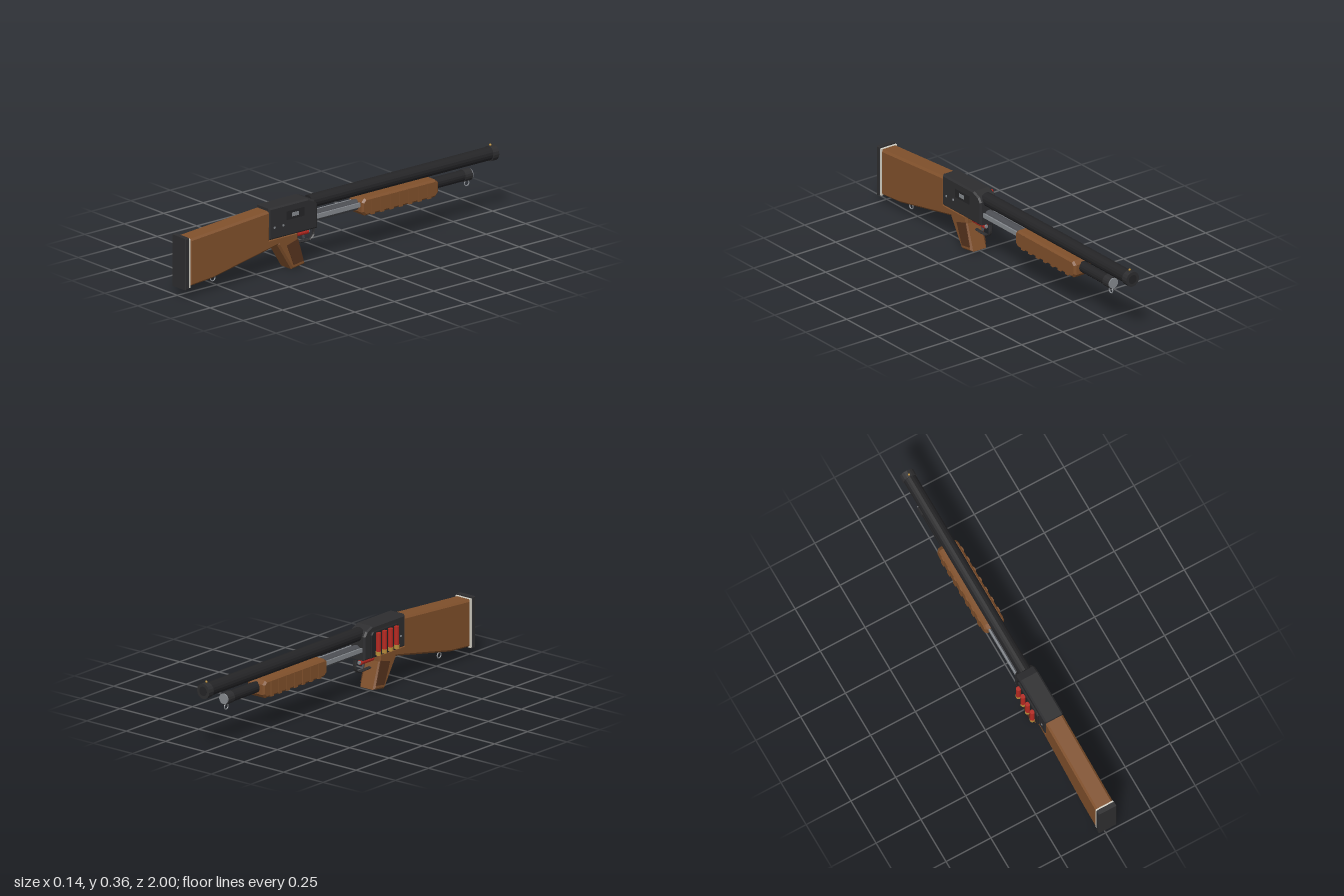
import * as THREE from 'three';

const CX = 0.012; // bore line
const mat = (name, color) => {
  const m = new THREE.MeshStandardMaterial({ color, flatShading: true });
  m.name = name;
  return m;
};

export function createModel() {
  const wood = mat('wood', 0x80502b);
  const darkWood = mat('darkWood', 0x55321d);
  const black = mat('black', 0x2d2d2f);
  const gunmetal = mat('gunmetal', 0x242426);
  const steel = mat('steel', 0x85898e);
  const darkSteel = mat('darkSteel', 0x4c4e53);
  const red = mat('red', 0xb42820);
  const brass = mat('brass', 0xb58a38);
  const white = mat('spacerWhite', 0xd6d3c8);

  const model = new THREE.Group();
  model.name = 'shotgun';
  const add = (name, geo, material, x = 0, y = 0, z = 0) => {
    const mesh = new THREE.Mesh(geo, material);
    mesh.name = name;
    mesh.position.set(x, y, z);
    model.add(mesh);
    return mesh;
  };

  // Side outline given as [z, y] pairs, extruded across x with chamfered edges
  const side = (name, pts, width, bevel, material, x = CX) => {
    const shape = new THREE.Shape(pts.map(([z, y]) => new THREE.Vector2(z, y)));
    const depth = width - 2 * bevel;
    const geo = new THREE.ExtrudeGeometry(shape, {
      depth, bevelEnabled: bevel > 0, bevelSegments: 1,
      bevelSize: bevel, bevelThickness: bevel, bevelOffset: -bevel,
    });
    geo.translate(0, 0, -depth / 2).rotateY(-Math.PI / 2);
    return add(name, geo, material, x);
  };
  const box = (name, w, h, d, material, x, y, z) =>
    add(name, new THREE.BoxGeometry(w, h, d), material, x, y, z);
  // Cylinder running along z between two positions
  const rod = (name, r, z0, z1, y, material, x = CX, sides = 16) =>
    add(name, new THREE.CylinderGeometry(r, r, Math.abs(z1 - z0), sides).rotateX(Math.PI / 2),
      material, x, y, (z0 + z1) / 2);

  // Stock and pistol grip
  side('stock', [
    [0.967, 0.055], [0.967, 0.297], [0.46, 0.334], [0.46, 0.19], [0.28, 0.19],
    [0.285, 0.14], [0.40, 0.148], [0.82, 0.066],
  ], 0.096, 0.01, wood);
  side('grip', [[0.41, 0.148], [0.40, 0.187], [0.28, 0.187], [0.28, 0.15], [0.235, 0.015], [0.32, 0.003]],
    0.096, 0.01, wood);
  for (const s of [-1, 1])
    side('gripPanel', [[0.355, 0.135], [0.285, 0.155], [0.25, 0.035], [0.312, 0.026]],
      0.004, 0, darkWood, CX + s * 0.0485);

  // Butt pad and spacer
  side('buttSpacer', [[0.965, 0.05], [0.977, 0.05], [0.977, 0.3], [0.965, 0.3]], 0.096, 0, white);
  side('buttPad', [[0.975, 0.045], [1, 0.043], [1, 0.307], [0.975, 0.307]], 0.1, 0.003, black);

  // Receiver
  side('receiver', [
    [0.47, 0.183], [0.47, 0.347], [0.22, 0.347], [0.178, 0.33], [0.16, 0.305], [0.16, 0.183],
  ], 0.101, 0.008, black);
  box('ejectionPort', 0.006, 0.045, 0.11, gunmetal, CX + 0.052, 0.29, 0.305);
  box('bolt', 0.004, 0.02, 0.042, steel, CX + 0.0545, 0.29, 0.307);
  for (const z of [0.435, 0.38])
    add('receiverPin', new THREE.CylinderGeometry(0.006, 0.006, 0.106, 8).rotateZ(Math.PI / 2),
      steel, CX, 0.244, z);

  // Barrel, muzzle and bead
  rod('barrel', 0.034, 0.18, -0.99, 0.31, gunmetal);
  rod('muzzleRing', 0.039, -0.965, -1, 0.309, black);
  rod('bore', 0.024, -0.99, -1.0005, 0.309, gunmetal);
  add('beadSight', new THREE.SphereGeometry(0.006, 10, 8), brass, CX, 0.352, -0.975);

  // Magazine tube with action bars
  rod('magazineTube', 0.027, 0.17, -0.3, 0.23, darkSteel);
  rod('magazineFront', 0.028, -0.3, -0.835, 0.232, gunmetal);
  rod('magazineCap', 0.031, -0.795, -0.84, 0.232, black);
  rod('magazineCapFace', 0.027, -0.83, -0.847, 0.232, steel);
  for (const s of [-1, 1])
    box('actionBar', 0.008, 0.022, 0.32, steel, CX + s * 0.033, 0.237, 0.01);

  // Ribbed fore-end
  side('foreEnd', [
    [-0.12, 0.2], [-0.12, 0.252], [-0.14, 0.27], [-0.585, 0.27],
    [-0.605, 0.252], [-0.605, 0.2], [-0.585, 0.18], [-0.14, 0.18],
  ], 0.108, 0.01, wood);
  for (let i = 0; i < 7; i++)
    for (const s of [-1, 1])
      box('foreEndRib', 0.014, 0.08, 0.022, wood, CX + s * 0.051, 0.222, -0.185 - i * 0.0595);

  // Trigger guard, trigger and shell at the loading gate
  const guard = new THREE.CatmullRomCurve3([
    [0.26, 0.117], [0.21, 0.115], [0.17, 0.117], [0.15, 0.135], [0.147, 0.185],
  ].map(([z, y]) => new THREE.Vector3(0, y, z)));
  add('triggerGuard', new THREE.TubeGeometry(guard, 14, 0.006, 6), black, CX).scale.x = 1.8;
  rod('loadingShell', 0.013, 0.285, 0.185, 0.16, red, CX, 12);
  rod('loadingShellTip', 0.009, 0.19, 0.177, 0.16, steel, CX, 12);
  box('trigger', 0.01, 0.055, 0.008, darkSteel, CX, 0.155, 0.215).rotation.x = 0.25;

  // Side saddle with spare shells
  side('shellHolder', [
    [0.41, 0.19], [0.41, 0.308], [0.396, 0.322], [0.214, 0.322], [0.2, 0.308], [0.2, 0.19],
  ], 0.013, 0.003, gunmetal, -0.0445);
  for (let i = 0; i < 4; i++) {
    const z = 0.24 + i * 0.046;
    add('shellBody', new THREE.CylinderGeometry(0.0125, 0.0125, 0.095, 12), red, -0.06, 0.2665, z);
    add('shellBase', new THREE.CylinderGeometry(0.0135, 0.0135, 0.02, 12), brass, -0.06, 0.21, z);
  }

  // Sling swivels
  for (const [y, z] of [[0.048, 0.785], [0.188, -0.825]])
    add('slingSwivel', new THREE.TorusGeometry(0.014, 0.003, 6, 14).rotateY(Math.PI / 2), steel, CX, y, z);

  return model;
}
